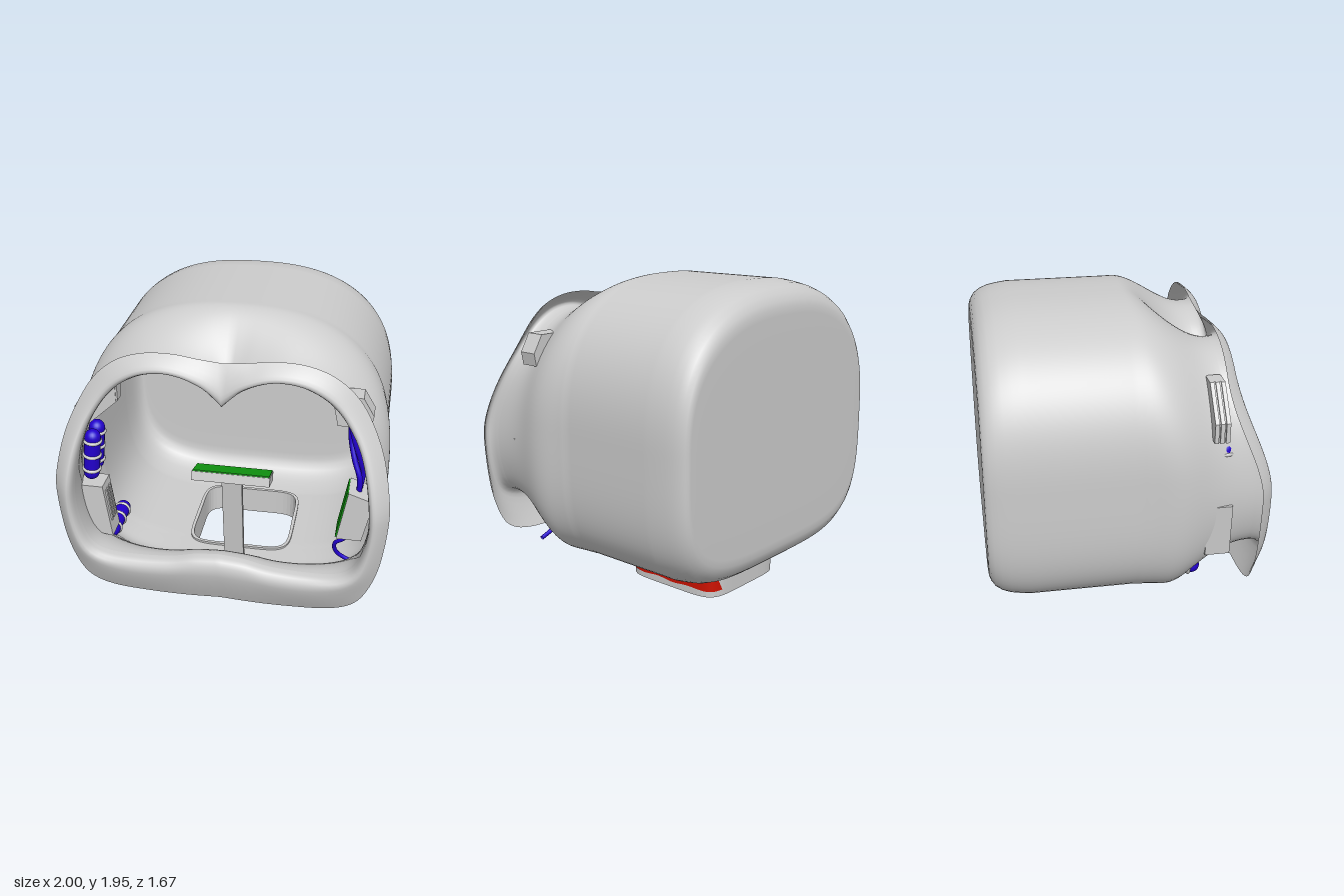
import * as THREE from 'three';

const { lerp, smoothstep } = THREE.MathUtils;
const V = (x, y, z) => new THREE.Vector3(x, y, z);
const mat = (color) => new THREE.MeshStandardMaterial({ color, side: THREE.DoubleSide });
const grey = mat(0xcccccc), blue = mat(0x2200cc), red = mat(0xcc1100), green = mat(0x119911);
const CY = 1.07, N = 160;

function add(parent, name, geo, material = grey, pos = [0, 0, 0], rot = [0, 0, 0]) {
  const m = new THREE.Mesh(geo, material);
  m.name = name;
  m.position.set(...pos);
  m.rotation.set(...rot);
  parent.add(m);
  return m;
}

// Radius by angle of a mirrored outline given by its right half, top to bottom
function radial(half) {
  const curve = new THREE.SplineCurve(half.map(([x, y]) => new THREE.Vector2(x, y - CY)));
  const pts = curve.getPoints(300).map((p) => [Math.atan2(p.y, Math.max(p.x, 0)), p.length()]);
  return (th) => {
    const a = Math.asin(Math.sin(th));
    let i = 1;
    while (i < pts.length - 1 && pts[i][0] > a) i++;
    const [a0, r0] = pts[i - 1], [a1, r1] = pts[i];
    return lerp(r0, r1, a0 === a1 ? 0 : Math.min(1, Math.max(0, (a0 - a) / (a0 - a1))));
  };
}
const openingR = radial([[0, 1.53], [0.04, 1.57], [0.12, 1.64], [0.24, 1.695], [0.36, 1.71], [0.5, 1.68],
  [0.65, 1.58], [0.78, 1.4], [0.85, 1.2], [0.885, 0.95], [0.87, 0.75], [0.81, 0.59], [0.7, 0.525],
  [0.5, 0.515], [0.3, 0.53], [0.15, 0.565], [0, 0.58]]);
const flangeR = radial([[0, 1.785], [0.15, 1.8], [0.3, 1.82], [0.48, 1.81], [0.65, 1.745], [0.8, 1.6],
  [0.93, 1.35], [0.99, 1.1], [1, 0.9], [0.965, 0.6], [0.89, 0.39], [0.8, 0.295], [0.65, 0.25],
  [0.4, 0.235], [0.2, 0.235], [0, 0.245]]);
const rimZ = (y) => 0.76 - 0.185 * smoothstep(y, 0.95, 1.65);

// Rounded box section: softer above, squarer below
function bodyR(th, inset = 0) {
  const c = Math.abs(Math.cos(th)), s = Math.sin(th), n = s > 0 ? 2.5 : 4;
  const a = 0.945 - 0.4 * inset, b = (s > 0 ? 0.88 : 0.89) - inset;
  return (Math.pow(c / a, n) + Math.pow(Math.abs(s) / b, n)) ** (-1 / n);
}

// Surface through closed rings of N points
function loft(rows, skip = () => false) {
  const idx = [];
  for (let j = 0; j < rows.length - 1; j++) for (let i = 0; i < N; i++) {
    const k = (i + 1) % N, a = j * N + i, b = j * N + k, c = a + N, d = b + N;
    if (!skip([rows[j][i], rows[j][k], rows[j + 1][i], rows[j + 1][k]])) idx.push(a, b, c, b, d, c);
  }
  const g = new THREE.BufferGeometry();
  g.setAttribute('position', new THREE.Float32BufferAttribute(rows.flat().flatMap((p) => [p.x, p.y, p.z]), 3));
  g.setIndex(idx);
  g.computeVertexNormals();
  return g;
}
const ring = (f) => Array.from({ length: N }, (_, i) => f((i / N) * Math.PI * 2));
const polar = (th, r, z) => V(r * Math.cos(th), CY + r * Math.sin(th), z);

// Neck outline, squarish, at an angle in the ground plane
const NZ = -0.213, NX = 0.35, ND = 0.357;
const neckQ = (x, dz) => (Math.abs(x / NX) ** 6 + Math.abs(dz / ND) ** 6) ** (1 / 6);
function neckPoint(t, grow = 0) {
  const c = Math.cos(t), s = Math.sin(t), r = 1 / neckQ(c, s) + grow;
  return [r * c, r * s];
}

function shellGeometry() {
  const rows = [];
  for (const [z, d] of [[-0.83, 0.88], [-0.83, 0.4], [-0.83, 0.19], [-0.826, 0.145], [-0.815, 0.11],
    [-0.79, 0.07], [-0.75, 0.04], [-0.7, 0.02], [-0.64, 0.008]])
    rows.push(ring((th) => polar(th, d > 0.8 ? 0 : bodyR(th, d), z)));
  for (let k = 0; k <= 20; k++) rows.push(ring((th) => polar(th, bodyR(th), lerp(-0.58, 0.06, k / 20))));
  // Front part narrows into the visor opening
  for (let k = 1; k <= 26; k++) rows.push(ring((th) => {
    const s = k / 26, r1 = openingR(th), sn = Math.sin(th);
    const z = lerp(0.06, rimZ(CY + r1 * sn), s);
    const w = smoothstep(s, 0.17 - 0.12 * sn, 1);
    const bulge = 0.035 * Math.cos(th) ** 2 * Math.exp(-(((z - 0.32) / 0.18) ** 2)) * (1 - s ** 4);
    return polar(th, lerp(bodyR(th), r1, w) + bulge, z);
  }));
  // Neck hole: points inside it slide out to its outline
  for (const p of rows.flat()) {
    const q = neckQ(p.x, p.z - NZ);
    if (p.y < 0.3 && q < 1) {
      p.inHole = true;
      p.x /= Math.max(q, 0.02);
      p.z = NZ + (p.z - NZ) / Math.max(q, 0.02);
    }
  }
  return loft(rows, (quad) => quad.every((p) => p.inHole));
}

function capsule(parent, pos, rot) {
  const g = new THREE.Group();
  g.name = 'gasBottle';
  add(g, 'bottleBody', new THREE.CapsuleGeometry(0.05, 0.25, 8, 20), blue);
  for (const y of [-0.1, 0, 0.1])
    add(g, 'bottleBand', new THREE.TorusGeometry(0.049, 0.011, 8, 24), grey, [0, y, 0], [Math.PI / 2, 0, 0]);
  g.position.set(...pos);
  g.rotation.set(...rot);
  parent.add(g);
}

const tube = (pts, r) =>
  new THREE.TubeGeometry(new THREE.CatmullRomCurve3(pts.map((p) => V(...p))), 32, r, 10);

function slab(points, depth) {
  const s = new THREE.Shape(points.map(([x, y]) => new THREE.Vector2(x, y)));
  return new THREE.ExtrudeGeometry(s, { depth, bevelEnabled: false });
}

export function createModel() {
  const model = new THREE.Group();
  model.name = 'helmet';

  add(model, 'shell', shellGeometry());

  // Visor frame: flange rising to a crest, then rolling into the opening
  const section = [[0, 0], [0.15, 0.27], [0.32, 0.55], [0.5, 0.8], [0.65, 0.95], [0.76, 1],
    [0.87, 0.92], [0.95, 0.7], [0.99, 0.4], [1, 0]];
  add(model, 'visorFrame', loft(section.map(([t, d]) => ring((th) => {
    const p = polar(th, lerp(flangeR(th), openingR(th), t), 0);
    p.z = rimZ(p.y) + 0.08 * d;
    return p;
  }))));

  // Neck ring
  const outline = (grow) => Array.from({ length: 96 }, (_, i) =>
    new THREE.Vector2(...neckPoint((i / 96) * Math.PI * 2, grow)));
  const neck = new THREE.Shape(outline(0.003));
  neck.holes.push(new THREE.Path(outline(-0.02)));
  add(model, 'neckRing', new THREE.ExtrudeGeometry(neck, { depth: 0.195, bevelEnabled: false }),
    grey, [0, 0.195, NZ], [Math.PI / 2, 0, 0]);

  // Painted band around the left side of the neck
  const band = new THREE.PlaneGeometry(1, 1, 80, 4), bp = band.attributes.position;
  for (let i = 0; i < bp.count; i++) {
    const u = bp.getX(i) + 0.5, v = bp.getY(i) + 0.5;
    const t = lerp(1.07 - 0.12 * v, -0.96 + 0.1 * v, u);
    const [x, z] = neckPoint(t, 0.008);
    bp.setXYZ(i, x, lerp(0.043, 0.148, v) + 0.005 * Math.sin(u * 19), z + NZ);
  }
  band.computeVertexNormals();
  add(model, 'neckBand', band, red);

  // Console on a leaning post
  const desk = new THREE.Group();
  desk.name = 'console';
  desk.position.set(0, 0.865, 0.31);
  desk.rotation.x = -0.28;
  add(desk, 'consoleTop', new THREE.BoxGeometry(0.5, 0.06, 0.16));
  add(desk, 'consoleScreen', new THREE.BoxGeometry(0.49, 0.01, 0.15), green, [0, 0.033, 0]);
  model.add(desk);
  add(model, 'consolePost', new THREE.BoxGeometry(0.13, 0.8, 0.035), grey, [0, 0.435, 0.278], [0.11, 0, 0]);
  add(model, 'floorTab', new THREE.BoxGeometry(0.12, 0.08, 0.05), grey, [0.15, 0.375, 0.55], [-0.4, 0, 0]);

  // Right side: slatted vent, grille box and gas bottles
  const vent = [[-0.65, 1.61], [-0.75, 1.61], [-0.91, 1.42], [-0.91, 1.3], [-0.84, 1.31], [-0.65, 1.48]];
  for (let i = 0; i < 3; i++) add(model, 'ventSlat', slab(vent, 0.024), grey, [0, 0, 0.48 + i * 0.033]);
  add(model, 'ventCore', slab(vent.map(([x, y]) => [x * 0.985, y]), 0.08), grey, [0, 0, 0.485]);
  add(model, 'grilleBox', slab([[-0.765, 0.885], [-0.92, 0.885], [-0.9, 0.55], [-0.72, 0.52]], 0.15),
    grey, [0, 0, 0.46]);
  for (let i = 0; i < 3; i++)
    add(model, 'grilleBar', new THREE.BoxGeometry(0.014, 0.22, 0.02), grey, [-0.743, 0.73, 0.5 + i * 0.035],
      [0, 0, 0.12]);
  capsule(model, [-0.825, 1.095, 0.57], [0, 0, -0.1]);
  capsule(model, [-0.835, 1.095, 0.45], [0, 0, -0.1]);
  capsule(model, [-0.79, 0.42, 0.28], [Math.PI / 2, 0, 0]);

  // Left side: upper box, screen box and cables
  add(model, 'upperBox', slab([[0.62, 1.61], [0.66, 1.42], [0.85, 1.42], [0.865, 1.5], [0.8, 1.61]], 0.12),
    grey, [0, 0, 0.41]);
  const unit = new THREE.Group();
  unit.name = 'screenBox';
  unit.position.set(0.79, 0.815, 0.5);
  unit.rotation.z = -0.175;
  add(unit, 'screenCase', slab([[-0.07, 0.175], [-0.07, -0.165], [0.08, -0.14], [0.09, 0.15]], 0.18),
    grey, [0, 0, -0.09]);
  add(unit, 'screenPanel', new THREE.BoxGeometry(0.01, 0.33, 0.16), green, [-0.074, 0.005, 0]);
  model.add(unit);
  for (const s of [-1, 1])
    add(model, 'upperCable', tube([[0.735, 1.43, 0.48 + s * 0.02], [0.755 + s * 0.015, 1.3, 0.48 + s * 0.03],
      [0.79 + s * 0.018, 1.17, 0.49], [0.815 + s * 0.008, 1.07, 0.49 - s * 0.025],
      [0.81, 0.96, 0.49 - s * 0.02]], 0.017), blue);
  add(model, 'lowerCable', tube([[0.765, 0.67, 0.47], [0.74, 0.58, 0.46], [0.68, 0.52, 0.44],
    [0.69, 0.43, 0.41], [0.78, 0.36, 0.395], [0.87, 0.325, 0.395]], 0.013), blue);
  return model;
}
